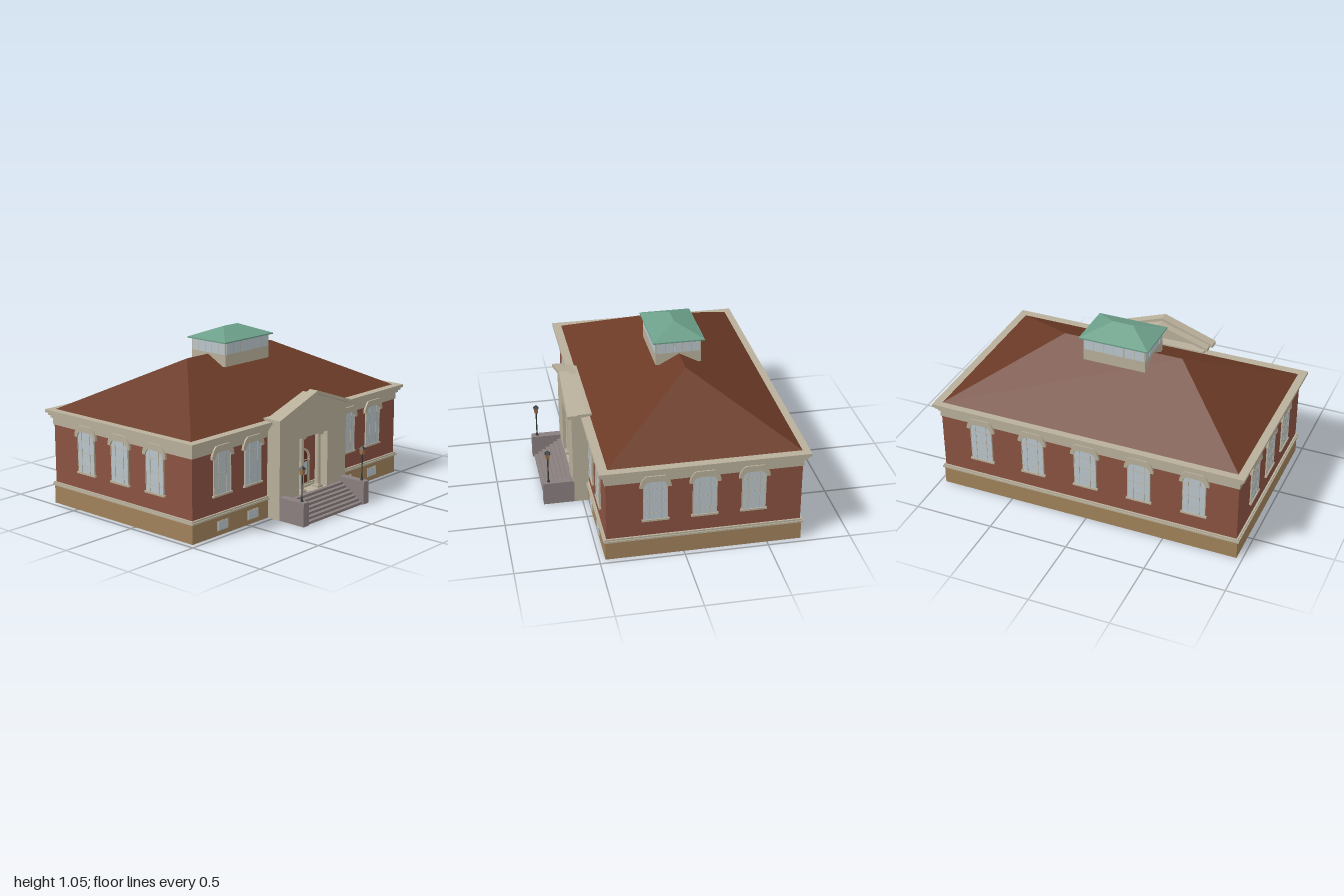
import * as THREE from 'three';

const mat = (name, color) => {
  const m = new THREE.MeshStandardMaterial({ color });
  m.name = name;
  return m;
};

export function createModel() {
  const M = {
    brick: mat('brick', 0x8a5242),
    trim: mat('limestone trim', 0xb8af9a),
    base: mat('tan foundation', 0xa08159),
    roof: mat('brown roof', 0x6b3a26),
    copper: mat('green copper', 0x6c9f89),
    stone: mat('grey stone', 0x8a7f7f),
    glass: mat('pale glass', 0xbac5ca),
    iron: mat('dark iron', 0x35393a),
    door: mat('door wood', 0x6a351f),
    lamp: mat('lamp amber', 0x9c7046),
  };
  const model = new THREE.Group();
  model.name = 'library';

  const add = (parent, name, geo, m, x = 0, y = 0, z = 0) => {
    const mesh = new THREE.Mesh(geo, m);
    mesh.name = name;
    mesh.position.set(x, y, z);
    parent.add(mesh);
    return mesh;
  };
  // Box given by its extents
  const box = (parent, name, m, x0, x1, y0, y1, z0, z1) =>
    add(parent, name, new THREE.BoxGeometry(x1 - x0, y1 - y0, z1 - z0), m,
      (x0 + x1) / 2, (y0 + y1) / 2, (z0 + z1) / 2);
  const group = (parent, name, x = 0, y = 0, z = 0, ry = 0) => {
    const g = new THREE.Group();
    g.name = name;
    g.position.set(x, y, z);
    g.rotation.y = ry;
    parent.add(g);
    return g;
  };
  const poly = (pts) => new THREE.Shape(pts.map(([x, y]) => new THREE.Vector2(x, y)));
  const extrude = (shape, depth) =>
    new THREE.ExtrudeGeometry(shape, { depth, bevelEnabled: false, curveSegments: 10 });
  // Hip roof with a ridge along x
  const hip = (hx, hz, h, ridge) => {
    const p = [[-hx, 0, hz], [hx, 0, hz], [hx, 0, -hz], [-hx, 0, -hz], [-ridge, h, 0], [ridge, h, 0]];
    const f = [0, 1, 5, 0, 5, 4, 1, 2, 5, 2, 3, 4, 2, 4, 5, 3, 0, 4, 0, 3, 2, 0, 2, 1];
    const g = new THREE.BufferGeometry();
    g.setAttribute('position', new THREE.Float32BufferAttribute(f.flatMap((i) => p[i]), 3));
    g.computeVertexNormals();
    return g;
  };

  // Main block: layers stacked as half-width, bottom, top
  const ZC = -0.12;
  const layer = (name, m, hx, y0, y1) => {
    const hz = hx - 0.38;
    box(model, name, m, -hx, hx, y0, y1, ZC - hz, ZC + hz);
  };
  layer('foundation', M.base, 0.965, 0, 0.118);
  layer('waterTableLower', M.trim, 0.975, 0.116, 0.127);
  layer('waterTableUpper', M.trim, 0.969, 0.127, 0.137);
  layer('brickWalls', M.brick, 0.958, 0.13, 0.52);
  layer('frieze', M.trim, 0.964, 0.5, 0.548);
  layer('corniceLower', M.trim, 0.974, 0.543, 0.56);
  layer('corniceMiddle', M.trim, 0.985, 0.56, 0.577);
  layer('corniceTop', M.trim, 0.998, 0.577, 0.595);
  add(model, 'mainRoof', hip(0.95, 0.57, 0.306, 0.385), M.roof, 0, 0.594, -0.125);

  // Arched windows, built facing +z with the wall at z = 0
  const pane = () => {
    const s = new THREE.Shape();
    s.moveTo(-0.07, 0.245);
    s.lineTo(0.07, 0.245);
    s.lineTo(0.07, 0.455);
    s.quadraticCurveTo(0.066, 0.498, 0.03, 0.5);
    s.lineTo(-0.03, 0.5);
    s.quadraticCurveTo(-0.066, 0.498, -0.07, 0.455);
    return s;
  };
  const hood = new THREE.Shape();
  hood.moveTo(0.093, 0.463);
  hood.quadraticCurveTo(0.088, 0.515, 0.055, 0.538);
  hood.lineTo(-0.055, 0.538);
  hood.quadraticCurveTo(-0.088, 0.515, -0.093, 0.463);
  hood.lineTo(-0.07, 0.463);
  hood.quadraticCurveTo(-0.066, 0.498, -0.03, 0.5);
  hood.lineTo(0.03, 0.5);
  hood.quadraticCurveTo(0.066, 0.498, 0.07, 0.463);
  const paneGeo = extrude(pane(), 0.008);
  const hoodGeo = extrude(hood, 0.016);
  const archedWindow = (x, z, ry) => {
    const w = group(model, 'archedWindow', x, 0, z, ry);
    add(w, 'windowGlass', paneGeo, M.glass);
    add(w, 'windowHood', hoodGeo, M.trim);
    box(w, 'windowSill', M.trim, -0.08, 0.08, 0.235, 0.247, 0, 0.014);
    for (const s of [-1, 1]) {
      box(w, 'windowJamb', M.trim, s * 0.07 - 0.002, s * 0.07 + 0.002, 0.245, 0.465, 0, 0.01);
      box(w, 'mullion', M.trim, s * 0.035 - 0.0015, s * 0.035 + 0.0015, 0.245, 0.499, 0.006, 0.01);
    }
    for (const y of [0.29, 0.37, 0.45])
      box(w, 'glazingBar', M.trim, -0.07, 0.07, y - 0.001, y + 0.001, 0.006, 0.0095);
  };
  const front = ZC + 0.578, back = ZC - 0.578;
  for (const x of [-0.715, -0.45, 0.45, 0.715]) {
    archedWindow(x, front, 0);
    // Cellar lights in the foundation
    box(model, 'cellarFrame', M.trim, x - 0.047, x + 0.047, 0.028, 0.088, 0.46, 0.468);
    box(model, 'cellarGlass', M.glass, x - 0.042, x + 0.042, 0.033, 0.083, 0.464, 0.47);
  }
  for (const x of [-0.69, -0.345, 0, 0.345, 0.69]) archedWindow(x, back, Math.PI);
  for (const s of [-1, 1])
    for (const z of [0.17, -0.12, -0.41]) archedWindow(s * 0.958, z, s * Math.PI / 2);

  // Cupola with a ring of panes
  const cup = group(model, 'cupola', 0, 0, -0.12);
  box(cup, 'cupolaWalls', M.trim, -0.2, 0.2, 0.835, 0.988, -0.14, 0.14);
  const cupolaSide = (half, dist, n, ry) => {
    const side = group(cup, 'cupolaGlazing', Math.sin(ry) * dist, 0, Math.cos(ry) * dist, ry);
    const step = (2 * half - 0.008) / n;
    for (let i = 0; i < n; i++) {
      const x = -half + 0.004 + i * step;
      box(side, 'cupolaPane', M.glass, x + 0.002, x + step - 0.002, 0.91, 0.982, -0.002, 0.002);
    }
  };
  for (const k of [0, 1]) {
    cupolaSide(0.2, 0.14, 6, k * Math.PI);
    cupolaSide(0.14, 0.2, 5, k * Math.PI + Math.PI / 2);
  }
  box(cup, 'cupolaEaves', M.copper, -0.223, 0.223, 0.984, 0.992, -0.158, 0.158);
  add(cup, 'cupolaRoof', hip(0.223, 0.158, 0.064, 0.065), M.copper, 0, 0.991, 0);

  // Entrance pavilion with a recessed porch and open gable
  const porch = group(model, 'entrancePavilion');
  const wall = poly([[-0.315, 0], [0.315, 0], [0.315, 0.605], [-0.315, 0.605]]);
  wall.holes.push(poly([[-0.135, 0.115], [-0.135, 0.465], [0.135, 0.465], [0.135, 0.115]]));
  add(porch, 'pavilionWall', extrude(wall, 0.097), M.trim, 0, 0, 0.458);
  add(porch, 'gableWall', extrude(poly([[-0.315, 0.605], [0.315, 0.605], [0, 0.72]]), 0.055), M.trim, 0, 0, 0.5);
  box(porch, 'pavilionLedge', M.trim, -0.32, 0.32, 0.592, 0.611, 0.432, 0.5);
  const chevron = (hx, y, top, t) => extrude(
    poly([[-hx, y], [hx, y], [hx, y + t], [0, top], [-hx, y + t], [-hx, y]].slice(0, 5)
      .toSpliced(1, 0, [0, top - t]).map(([a, b]) => [a, b])), 1);
  const outer = add(porch, 'rakingCorniceFront', chevron(0.35, 0.6, 0.743, 0.02), M.trim, 0, 0, 0.522);
  outer.scale.z = 0.062;
  const inner = add(porch, 'rakingCorniceBack', chevron(0.332, 0.598, 0.722, 0.018), M.trim, 0, 0, 0.468);
  inner.scale.z = 0.056;

  // Columns
  for (const s of [-1, 1]) {
    const c = group(porch, 'column', s * 0.08, 0, 0.525);
    box(c, 'columnPlinth', M.trim, -0.024, 0.024, 0.115, 0.13, -0.024, 0.024);
    add(c, 'columnFoot', new THREE.CylinderGeometry(0.019, 0.022, 0.012, 16), M.trim, 0, 0.136, 0);
    add(c, 'columnShaft', new THREE.CylinderGeometry(0.015, 0.018, 0.31, 16), M.trim, 0, 0.295, 0);
    box(c, 'columnCapital', M.trim, -0.022, 0.022, 0.449, 0.466, -0.022, 0.022);
  }

  // Arched door with a stone surround
  const arch = (r, y0, yc) => {
    const s = new THREE.Shape();
    s.moveTo(-r, y0);
    s.lineTo(r, y0);
    s.lineTo(r, yc);
    s.absarc(0, yc, r, 0, Math.PI, false);
    return s;
  };
  const surround = new THREE.Shape();
  surround.moveTo(0.07, 0.285);
  surround.absarc(0, 0.295, 0.07, 0, Math.PI, false);
  surround.lineTo(-0.07, 0.285);
  surround.lineTo(-0.055, 0.285);
  surround.absarc(0, 0.295, 0.055, Math.PI, 0, true);
  surround.lineTo(0.055, 0.285);
  add(porch, 'doorArch', extrude(surround, 0.016), M.trim, 0, 0, 0.456);
  add(porch, 'doorLeaf', extrude(arch(0.056, 0.115, 0.295), 0.008), M.door, 0, 0, 0.457);
  box(porch, 'doorStep', M.trim, -0.075, 0.075, 0.114, 0.128, 0.457, 0.48);
  box(porch, 'doorTransom', M.trim, -0.056, 0.056, 0.282, 0.287, 0.457, 0.468);
  for (const s of [-1, 1]) {
    box(porch, 'doorJamb', M.trim, s * 0.0625 - 0.0075, s * 0.0625 + 0.0075, 0.115, 0.287, 0.457, 0.47);
    box(porch, 'doorGlass', M.glass, s * 0.03 - 0.018, s * 0.03 + 0.018, 0.19, 0.272, 0.463, 0.468);
  }

  // Steps, side walls and lamp posts
  const steps = 7;
  for (let i = 0; i < steps; i++)
    box(model, 'entranceStep', M.stone, -0.265, 0.265, i * 0.115 / steps, (i + 1) * 0.115 / steps,
      0.55, 0.73 - i * 0.025);
  for (const s of [-1, 1]) {
    box(model, 'stairWall', M.stone, s * 0.29 - 0.025, s * 0.29 + 0.025, 0, 0.145, 0.55, 0.74);
    const l = group(model, 'lampPost', s * 0.29, 0, 0.705);
    add(l, 'lampFoot', new THREE.CylinderGeometry(0.006, 0.01, 0.015, 8), M.iron, 0, 0.152, 0);
    add(l, 'lampPole', new THREE.CylinderGeometry(0.004, 0.004, 0.17, 8), M.iron, 0, 0.23, 0);
    const lantern = add(l, 'lantern', new THREE.CylinderGeometry(0.019, 0.015, 0.035, 4).toNonIndexed(), M.lamp, 0, 0.328, 0);
    const cap = add(l, 'lanternCap', new THREE.ConeGeometry(0.024, 0.022, 4).toNonIndexed(), M.iron, 0, 0.355, 0);
    for (const m of [lantern, cap]) {
      m.geometry.computeVertexNormals();
      m.rotation.y = Math.PI / 4;
    }
  }
  return model;
}
